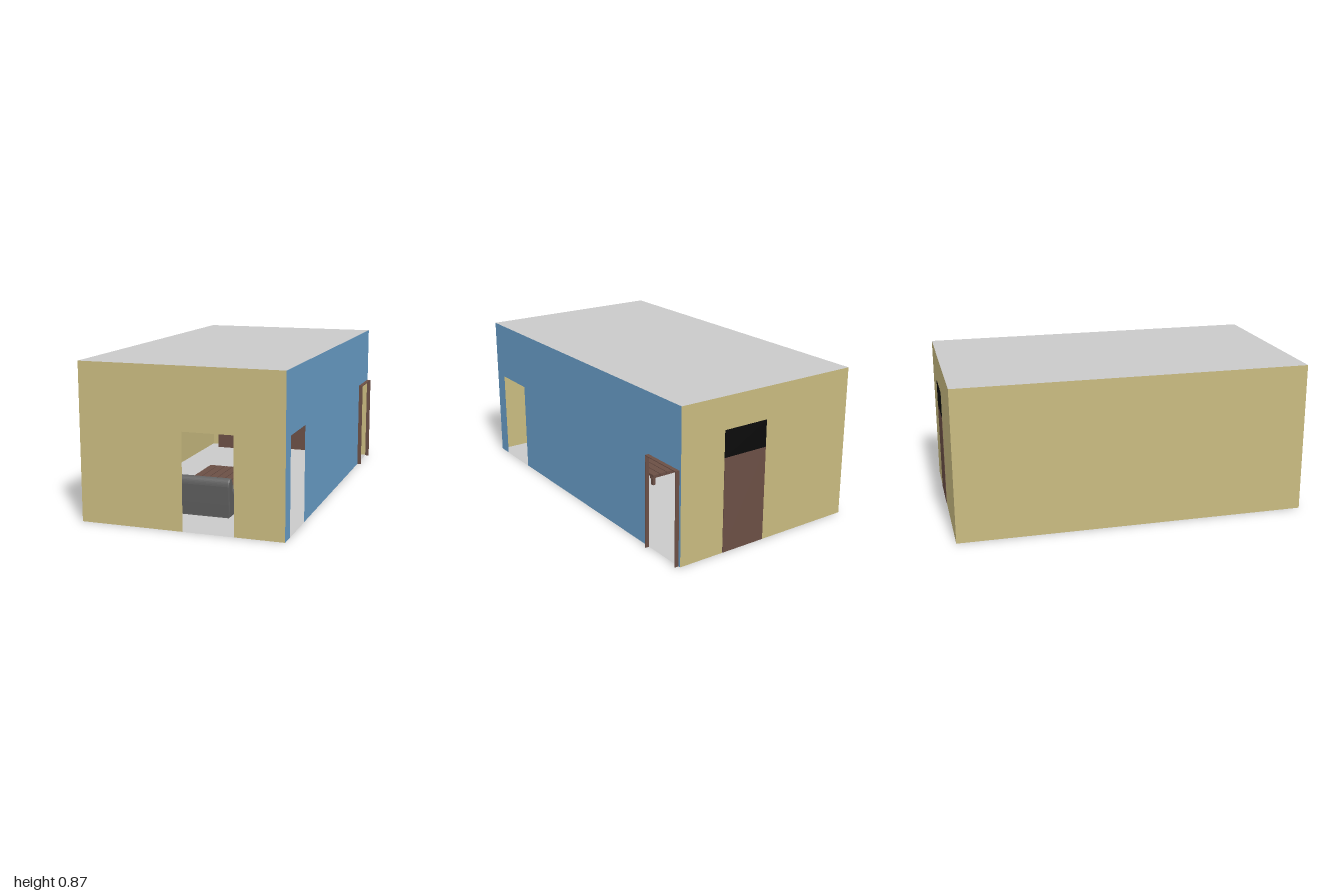
import * as THREE from 'three';
import { RoundedBoxGeometry } from 'three/addons/geometries/RoundedBoxGeometry.js';

const mat = (name, color) => {
  const m = new THREE.MeshStandardMaterial({ color, side: THREE.DoubleSide });
  m.name = name;
  return m;
};

export function createModel() {
  const room = new THREE.Group();
  room.name = 'room';
  const khaki = mat('khaki wall paint', 0xc9bb80);
  const blue = mat('blue wall paint', 0x6aa0cb);
  const grey = mat('light grey plaster', 0xc9c9c9);
  const brown = mat('brown wood', 0x6b4f45);
  const charcoal = mat('charcoal upholstery', 0x606060);
  const black = mat('black panel', 0x0b0b0b);

  const X0 = -0.575, X1 = 0.55, H = 0.865, DOOR = 0.528;

  const add = (name, geometry, material, x = 0, y = 0, z = 0, parent = room) => {
    const mesh = new THREE.Mesh(geometry, material);
    mesh.name = name;
    mesh.position.set(x, y, z);
    parent.add(mesh);
    return mesh;
  };
  // box given by its low and high corners
  const box = (name, a, b, material, parent = room, radius = 0) => {
    const s = a.map((v, i) => b[i] - v);
    const g = radius ? new RoundedBoxGeometry(...s, 4, radius) : new THREE.BoxGeometry(...s);
    return add(name, g, material, ...a.map((v, i) => (v + b[i]) / 2), parent);
  };
  // wall outline from u0 to u1 that steps around doorways reaching the floor
  const wall = (u0, u1, doors = []) => {
    const s = new THREE.Shape();
    s.moveTo(u0, 0);
    for (const [d0, d1] of doors) {
      s.lineTo(d0, 0); s.lineTo(d0, DOOR); s.lineTo(d1, DOOR); s.lineTo(d1, 0);
    }
    s.lineTo(u1, 0); s.lineTo(u1, H); s.lineTo(u0, H);
    return new THREE.ShapeGeometry(s);
  };

  // Shell: walls, floor and ceiling are single sheets
  add('frontWall', wall(X0, X1, [[0, 0.28]]), khaki, 0, 0, 1);
  add('backWall', wall(-X1, -X0).rotateY(Math.PI), khaki, 0, 0, -1);
  add('rightWall', wall(-1, 1).rotateY(-Math.PI / 2), khaki, X0, 0, 0);
  add('leftWall', wall(-1, 1, [[-0.912, -0.638], [0.72, 0.982]]).rotateY(Math.PI / 2), blue, X1, 0, 0);
  const slab = new THREE.PlaneGeometry(X1 - X0, 2);
  add('floor', slab.clone().rotateX(Math.PI / 2), grey, (X0 + X1) / 2, 0, 0);
  add('ceiling', slab.clone().rotateX(-Math.PI / 2), grey, (X0 + X1) / 2, H, 0);

  // Back door with a dark panel above it
  box('backDoor', [0.003, 0.001, -1.002], [0.277, 0.535, -0.997], brown);
  box('backDoorTransom', [0.003, 0.535, -1.002], [0.277, 0.685, -0.997], black);

  // Thin sleeve standing out around the rear doorway of the blue wall
  for (const z of [-0.984, -0.722]) box('doorFramePost', [X1, 0, z - 0.002], [0.573, DOOR, z + 0.002], brown);
  box('doorFrameHead', [X1, DOOR - 0.004, -0.986], [0.573, DOOR, -0.72], brown);

  // Sofa with its back to the front doorway
  const sofa = new THREE.Group();
  sofa.name = 'sofa';
  room.add(sofa);
  const back = new THREE.Shape();
  back.moveTo(0.64, 0.012);
  back.lineTo(0.708, 0.012);
  back.lineTo(0.716, 0.08);
  back.lineTo(0.724, 0.18);
  back.quadraticCurveTo(0.722, 0.215, 0.7, 0.218);
  back.quadraticCurveTo(0.676, 0.215, 0.672, 0.18);
  back.lineTo(0.665, 0.1);
  const backGeo = new THREE.ExtrudeGeometry(back, {
    depth: 0.474, bevelThickness: 0.008, bevelSize: 0.004, bevelSegments: 3, curveSegments: 8,
  }).rotateY(-Math.PI / 2);
  add('sofaBack', backGeo, charcoal, 0.15, 0, 0, sofa);
  box('sofaBase', [-0.32, 0.002, 0.43], [0.15, 0.07, 0.71], charcoal, sofa);
  for (const x of [-0.332, 0.098]) {
    box('sofaArm', [x, 0.004, 0.42], [x + 0.06, 0.14, 0.69], charcoal, sofa, 0.02);
  }
  for (const x of [-0.27, -0.086]) {
    box('sofaCushion', [x, 0.06, 0.42], [x + 0.182, 0.105, 0.67], charcoal, sofa, 0.015);
  }

  // Low slatted table in front of the sofa
  const table = new THREE.Group();
  table.name = 'table';
  room.add(table);
  for (let i = 0; i < 7; i++) {
    const x = -0.26 + i * 0.05;
    box('tableSlat', [x, 0.06, -0.1], [x + 0.045, 0.075, 0.3], brown, table);
  }
  for (const z of [-0.08, 0.26]) {
    box('tableRail', [-0.26, 0.045, z], [0.085, 0.06, z + 0.02], brown, table);
    for (const x of [-0.25, 0.055]) box('tableLeg', [x, 0, z], [x + 0.02, 0.045, z + 0.02], brown, table);
  }

  // Cabinet of stacked tiers against the back wall
  for (let i = 0; i < 4; i++) {
    box('cabinetTier', [-0.5, i * 0.104 + 0.002, -0.99], [-0.05, (i + 1) * 0.104, -0.892], brown);
  }
  return room;
}
